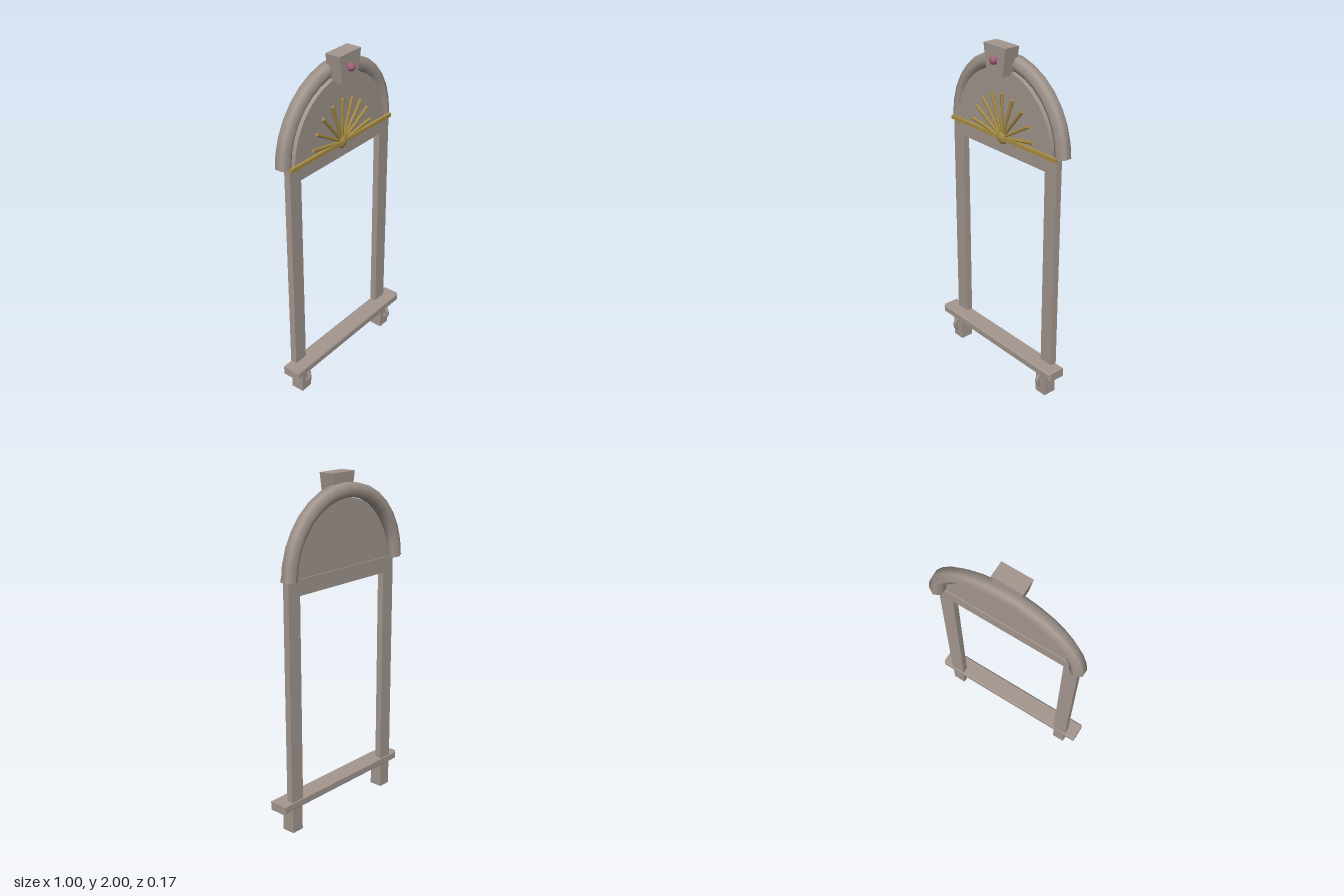
import * as THREE from 'three';

const stone = new THREE.MeshStandardMaterial({ name: 'stone', color: 0xa3978f });
const stoneOpen = stone; // open tube ends are closed with small caps
const gold = new THREE.MeshStandardMaterial({ name: 'gold', color: 0xa98f45 });
const rose = new THREE.MeshStandardMaterial({ name: 'rose', color: 0xa8607a });

const SPRING = 1.475; // height where the arch begins

export function createModel() {
  const group = new THREE.Group();
  const add = (name, geometry, material, x = 0, y = 0, z = 0) => {
    const mesh = new THREE.Mesh(geometry, material);
    mesh.name = name;
    mesh.position.set(x, y, z);
    group.add(mesh);
    return mesh;
  };
  const polygon = (pts) => new THREE.Shape(pts.map(([x, y]) => new THREE.Vector2(x, y)));
  const extrude = (shape, depth, curveSegments = 12) =>
    new THREE.ExtrudeGeometry(shape, { depth, bevelEnabled: false, curveSegments });

  // Tube along a curve, closed at both ends with flat fans
  const cappedTube = (name, points, segments, radius, sides, x = 0, y = 0, z = 0) => {
    const curve = new THREE.CatmullRomCurve3(points);
    const tube = new THREE.TubeGeometry(curve, segments, radius, sides, false);
    add(name, tube, stoneOpen, x, y, z);
    [0, 1].forEach((t) => {
      const cap = add(name + 'End', new THREE.CircleGeometry(radius, sides, Math.PI / 2), stoneOpen);
      const p = curve.getPointAt(t);
      const out = curve.getTangentAt(t).multiplyScalar(t ? 1 : -1);
      const side = new THREE.Vector3().crossVectors(
        Math.abs(out.z) < 0.5 ? new THREE.Vector3(0, 0, 1) : new THREE.Vector3(1, 0, 0), out).normalize();
      const up = new THREE.Vector3().crossVectors(out, side);
      cap.quaternion.setFromRotationMatrix(new THREE.Matrix4().makeBasis(side, up, out));
      cap.position.set(x, y, z).add(p);
    });
  };

  // Window surround: two jambs and a head, open at the foot
  add('windowFrame', extrude(polygon([
    [-0.433, 0.17], [-0.346, 0.17], [-0.346, 1.385], [0.346, 1.385],
    [0.346, 0.17], [0.433, 0.17], [0.433, SPRING], [-0.433, SPRING],
  ]), 0.039), stone, 0, 0, -0.037);

  // Half-round panel above the head
  const panel = new THREE.Shape();
  panel.absarc(0, 0, 0.388, 0, Math.PI, false);
  panel.closePath();
  add('archPanel', extrude(panel, 0.03, 24), stone, 0, SPRING, -0.03);

  // Six-sided arch moulding
  const archPoints = [];
  for (let i = 0; i <= 12; i++) {
    const a = Math.PI * (1 - i / 12);
    archPoints.push(new THREE.Vector3(0.432 * Math.cos(a), 0.432 * Math.sin(a), 0));
  }
  cappedTube('archMoulding', archPoints, 16, 0.045, 6, 0, SPRING, -0.044);

  // Keystone with its bead
  add('keystone', extrude(polygon([
    [-0.066, 1.843], [0.066, 1.843], [0.09, 2], [-0.09, 2],
  ]), 0.092), stone, 0, 0, -0.036);
  add('keystoneBead', new THREE.SphereGeometry(0.025, 8, 6), rose, 0, 1.922, 0.06);

  // Gilded bar and sunburst
  add('goldBar', new THREE.BoxGeometry(0.874, 0.022, 0.017), gold, 0, 1.477, 0.0085);
  const hub = add('sunburstHub', new THREE.SphereGeometry(0.038, 12, 8), gold, 0, SPRING, 0.003);
  hub.scale.z = 0.5;
  for (let i = 0; i < 9; i++) {
    const ray = new THREE.CylinderGeometry(0.011, 0.008, 0.25, 6);
    ray.translate(0, 0.128, 0);
    add('sunburstRay', ray, gold, 0, SPRING, 0.004).rotation.z = THREE.MathUtils.degToRad(80 - 20 * i);
  }

  // Chamfered sill
  const b = 0.008;
  const sill = new THREE.ExtrudeGeometry(polygon([
    [-0.5 + b, 0.145 + b], [0.5 - b, 0.145 + b], [0.5 - b, 0.196 - b], [-0.5 + b, 0.196 - b],
  ]), { depth: 0.113 - 2 * b, bevelSize: b, bevelThickness: b, bevelSegments: 1 });
  add('sill', sill, stone, 0, 0, -0.041 + b);

  // Brackets under the sill, each with a small scroll on its face
  const scroll = [
    [0.122, 0.038], [0.124, 0.054], [0.109, 0.065], [0.085, 0.065],
    [0.066, 0.056], [0.068, 0.045], [0.084, 0.046],
  ].map(([y, z]) => new THREE.Vector3(0, y, z));
  [-1, 1].forEach((s) => {
    add('bracket', new THREE.BoxGeometry(0.077, 0.15, 0.079), stone, s * 0.39, 0.075, 0.0025);
    cappedTube('bracketScroll', scroll, 16, 0.012, 6, s * 0.39);
  });

  return group;
}
